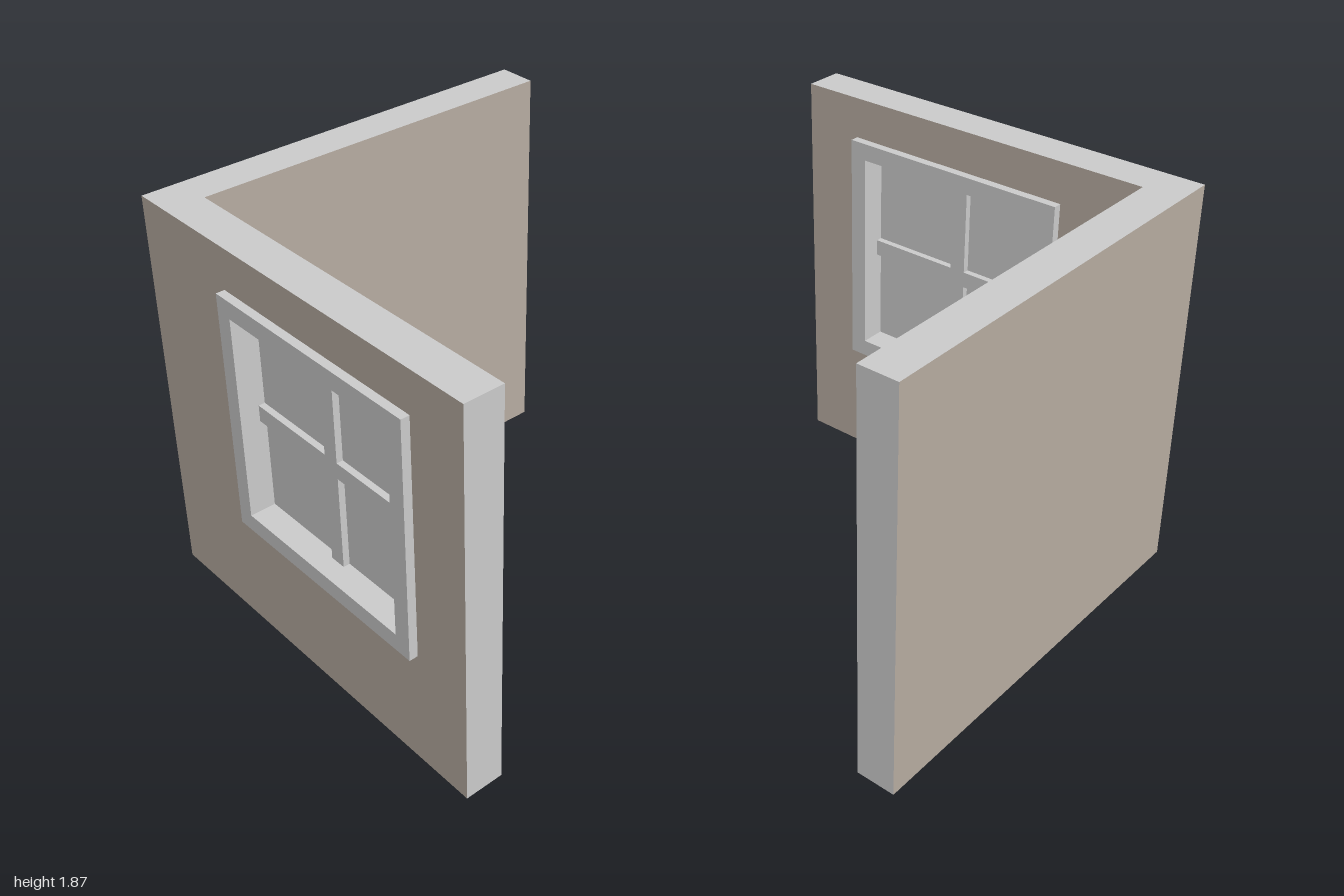
import * as THREE from 'three';

export function createModel() {
  const model = new THREE.Group();
  model.name = 'cornerWallWithWindow';
  const plaster = new THREE.MeshStandardMaterial({ color: 0xb8ada2 });
  plaster.name = 'warm plaster';
  const grey = new THREE.MeshStandardMaterial({ color: 0xcccccc });
  grey.name = 'light grey';

  const H = 1.87;       // wall height
  const WALL_X = -0.87; // centre plane of the window wall
  const WIN_Z = 0.14, WIN_Y = 1.12; // window centre

  const add = (parent, name, geometry, material) => {
    const mesh = new THREE.Mesh(geometry, material);
    mesh.name = name;
    parent.add(mesh);
    return mesh;
  };

  const rect = (PathType, z0, z1, y0, y1) => {
    const p = new PathType();
    p.moveTo(z0, y0);
    p.lineTo(z1, y0);
    p.lineTo(z1, y1);
    p.lineTo(z0, y1);
    p.closePath();
    return p;
  };

  // Panel drawn in the z-y plane with a square opening, centred on the window wall
  const panel = (z0, z1, y0, y1, openingHalf, depth) => {
    const shape = rect(THREE.Shape, z0, z1, y0, y1);
    shape.holes.push(rect(THREE.Path, WIN_Z - openingHalf, WIN_Z + openingHalf,
      WIN_Y - openingHalf, WIN_Y + openingHalf));
    return new THREE.ExtrudeGeometry(shape, { depth, bevelEnabled: false })
      .rotateY(-Math.PI / 2)
      .translate(WALL_X + depth / 2, 0, 0);
  };

  // Walls: plaster on the broad faces, grey on the tops, undersides and ends
  add(model, 'backWall', new THREE.BoxGeometry(1.96, H, 0.18),
    [grey, plaster, grey, grey, plaster, plaster]).position.set(0.02, H / 2, -0.89);
  add(model, 'windowWall', panel(-0.8, 0.98, 0, H, 0.52, 0.18), [plaster, grey]);

  // Window: frame, crossing bars and a thin pane
  const win = new THREE.Group();
  win.name = 'window';
  model.add(win);
  const half = 0.56;
  add(win, 'windowFrame',
    panel(WIN_Z - half, WIN_Z + half, WIN_Y - half, WIN_Y + half, 0.48, 0.26), grey);
  const box = (name, w, h, d) =>
    add(win, name, new THREE.BoxGeometry(w, h, d), grey).position.set(WALL_X, WIN_Y, WIN_Z);
  box('verticalBar', 0.08, 0.96, 0.076);
  box('horizontalBar', 0.08, 0.076, 0.96);
  box('windowPane', 0.02, 0.96, 0.96);

  return model;
}
